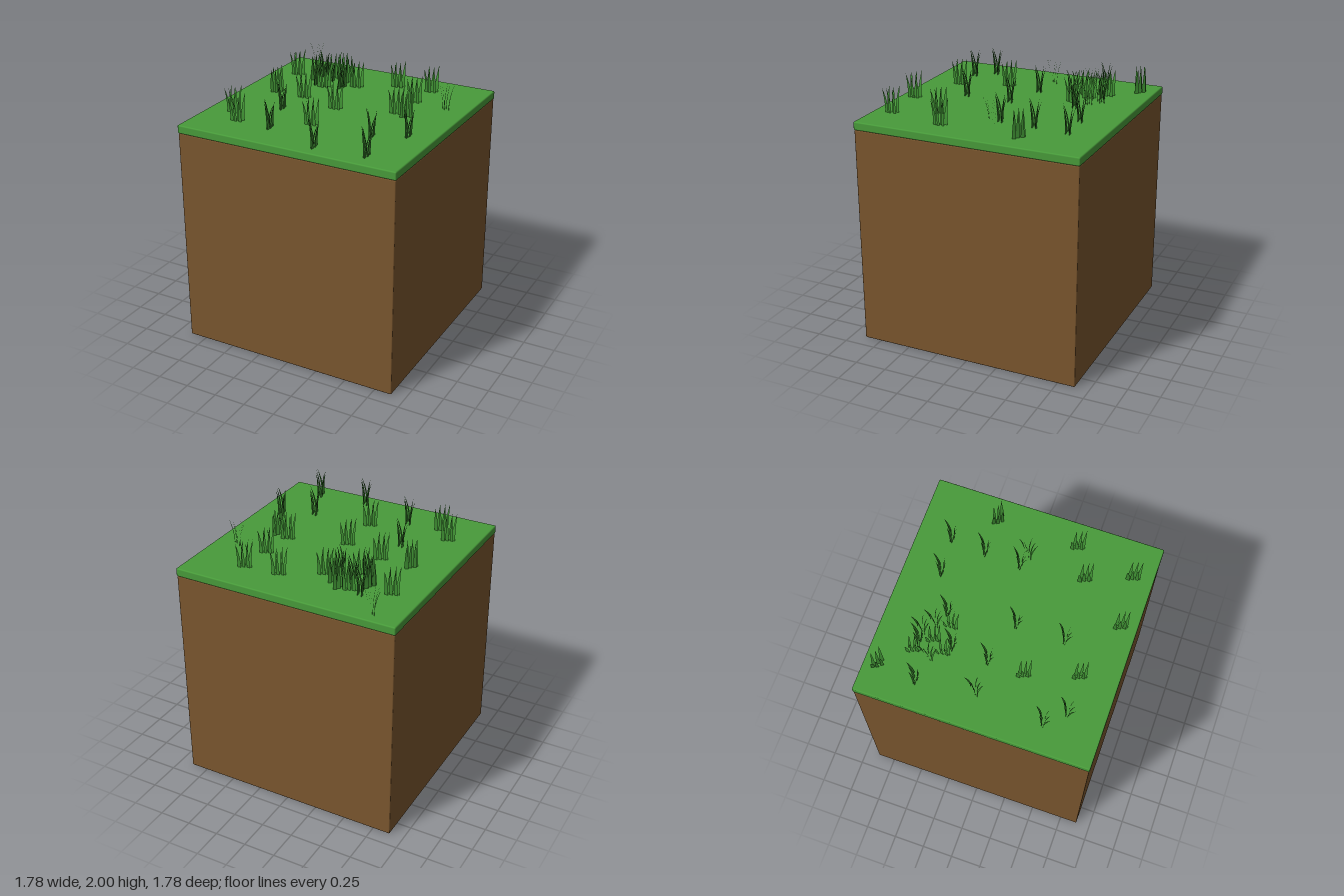
import * as THREE from 'three';
import { mergeGeometries } from 'three/addons/utils/BufferGeometryUtils.js';
import { RoundedBoxGeometry } from 'three/addons/geometries/RoundedBoxGeometry.js';

const SOIL_TOP = 1.73, TURF_TOP = 1.795, TOP = 2;

// A flat blade, tapering to a point and curving along z towards its tip
function bladeGeometry(x, z, lean, width) {
  const height = TOP - TURF_TOP + 0.005;
  const geo = new THREE.PlaneGeometry(width, height, 1, 5).translate(0, height / 2, 0);
  const pos = geo.attributes.position;
  for (let i = 0; i < pos.count; i++) {
    const t = pos.getY(i) / height;
    pos.setX(i, x + pos.getX(i) * (1 - t * t));
    pos.setZ(i, z + lean * t * t);
  }
  geo.computeVertexNormals();
  return geo;
}

// Blades of one tuft: x, z, lean, width
const BLADES = [
  [0.034, -0.025, -0.04, 0.03], [0.006, -0.01, -0.025, 0.026], [-0.028, 0, -0.022, 0.026],
  [-0.037, 0.012, 0.05, 0.026], [-0.006, 0.015, 0.035, 0.022], [0.03, 0.008, 0.022, 0.024],
];

// Tufts: x, z, turn in degrees
const TUFTS = [
  [0.46, -0.63, 0], [0.18, -0.61, 0], [-0.67, -0.49, 0], [0.44, -0.36, 0], [0.42, -0.08, 0],
  [-0.36, -0.05, 0], [-0.03, 0.05, 0], [-0.03, 0.42, 0], [-0.67, 0.47, 0], [-0.55, 0.61, 0],
  [-0.11, -0.45, 0], [-0.39, 0.23, 90], [0.46, 0.41, 90], [-0.27, 0.61, 90], [0.19, 0.77, 90],
  [0.59, 0.74, 85], [0.69, 0.28, 85], [0.70, -0.35, -60], [-0.66, -0.78, -60],
  [-0.61, -0.06, 25], [0.52, -0.05, 25],
];

// Dense clump near the back left of the block as seen from the front
const CLUMP = [
  [-0.47, -0.58, 90], [-0.38, -0.57, 0], [-0.30, -0.58, 30], [-0.22, -0.51, 30], [-0.48, -0.46, 40],
  [-0.35, -0.47, 90], [-0.42, -0.37, 75], [-0.34, -0.33, 0], [-0.21, -0.39, 70],
];

export function createModel() {
  const model = new THREE.Group();
  const soilMat = new THREE.MeshStandardMaterial({ color: 0x7a562e });
  const turfMat = new THREE.MeshStandardMaterial({ color: 0x489b3a });
  const grassMat = new THREE.MeshStandardMaterial({ color: 0x3f9133, side: THREE.DoubleSide });

  // Soil block
  const soil = new THREE.Mesh(new RoundedBoxGeometry(1.776, SOIL_TOP, 1.776, 2, 0.008), soilMat);
  soil.name = 'soilBlock';
  soil.position.y = SOIL_TOP / 2;
  model.add(soil);

  // Turf slab
  const thickness = TURF_TOP - SOIL_TOP;
  const turf = new THREE.Mesh(new RoundedBoxGeometry(1.784, thickness, 1.784, 2, 0.01), turfMat);
  turf.name = 'turfSlab';
  turf.position.y = SOIL_TOP + thickness / 2;
  model.add(turf);

  // Grass tufts share one geometry
  const tuftGeo = mergeGeometries(BLADES.map((b) => bladeGeometry(...b)));
  const addTufts = (name, list) => {
    const group = new THREE.Group();
    group.name = name;
    for (const [x, z, turn] of list) {
      const tuft = new THREE.Mesh(tuftGeo, grassMat);
      tuft.name = 'grassTuft';
      tuft.position.set(x, TURF_TOP - 0.005, z);
      tuft.rotation.y = THREE.MathUtils.degToRad(turn);
      group.add(tuft);
    }
    model.add(group);
  };
  addTufts('scatteredGrass', TUFTS);
  addTufts('grassClump', CLUMP);
  return model;
}
